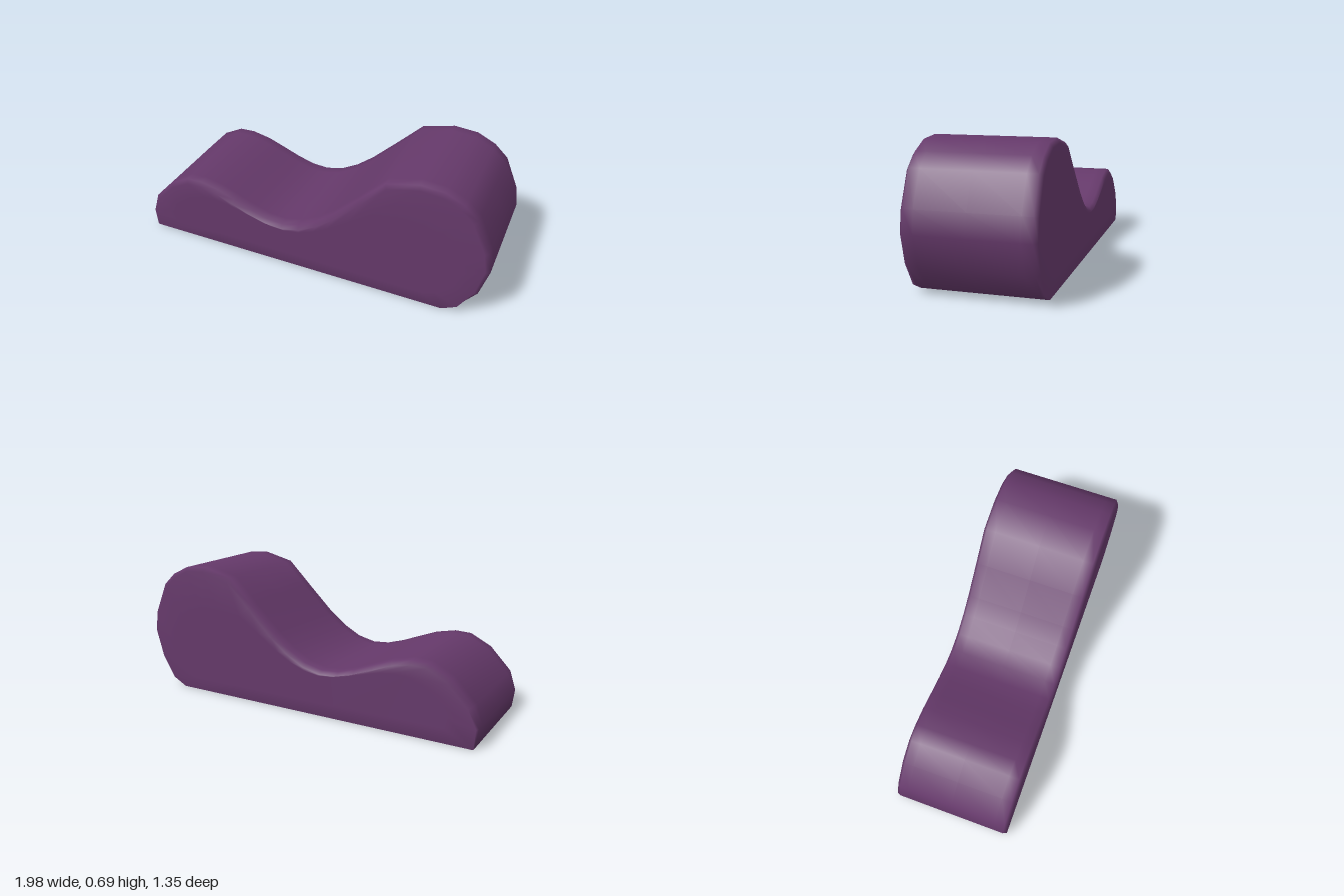
import * as THREE from 'three';

// Side outline of the lounge (length, height), counter-clockwise from the low end's foot
const OUTLINE = [
  [-0.942, 0], [-0.6, 0], [-0.25, 0], [0.1, 0], [0.45, 0], [0.75, 0],
  [0.827, 0.04], [0.915, 0.15], [0.958, 0.3], [0.942, 0.41], [0.87, 0.575],
  [0.8, 0.64], [0.706, 0.685], [0.582, 0.695], [0.417, 0.655], [0.28, 0.52],
  [0.142, 0.387], [0.05, 0.315], [-0.045, 0.263], [-0.14, 0.241], [-0.23, 0.248],
  [-0.32, 0.275], [-0.42, 0.315], [-0.516, 0.352], [-0.62, 0.374], [-0.706, 0.371],
  [-0.816, 0.315], [-0.926, 0.2], [-0.958, 0.1],
];
const HALF_WIDTH = 0.3085;

// Outline pulled inwards along its normal; the inset fades out towards the floor
function insetOutline(depth) {
  const n = OUTLINE.length;
  return OUTLINE.map(([u, y], i) => {
    const a = OUTLINE[(i + n - 1) % n], b = OUTLINE[(i + 1) % n];
    const t = new THREE.Vector2(b[0] - a[0], b[1] - a[1]).normalize();
    const d = depth * THREE.MathUtils.smoothstep(y, 0.03, 0.2);
    return [u - t.y * d, y + t.x * d];
  });
}

function loungeGeometry() {
  const seam = insetOutline(0.022);
  const panel = OUTLINE.map(([u, y]) => [u * 0.85, y * 0.6 + 0.07]);
  // Cross-sections from back to front: side panel, seam edge, upholstery, seam edge, side panel
  const rings = [
    [panel, -HALF_WIDTH], [seam, -HALF_WIDTH], [OUTLINE, -0.292], [OUTLINE, -0.24], [OUTLINE, 0],
    [OUTLINE, 0.24], [OUTLINE, 0.292], [seam, HALF_WIDTH], [panel, HALF_WIDTH],
  ];
  const n = OUTLINE.length, positions = [], index = [];
  for (const [points, w] of rings) for (const [u, y] of points) positions.push(u, y, w);
  for (let k = 0; k < rings.length - 1; k++) {
    for (let i = 0; i < n; i++) {
      const j = (i + 1) % n;
      const a = k * n + i, b = k * n + j, c = b + n, d = a + n;
      index.push(a, b, c, a, c, d);
    }
  }
  // Close the middle of both side panels
  const last = (rings.length - 1) * n;
  const faces = THREE.ShapeUtils.triangulateShape(panel.map(([u, y]) => new THREE.Vector2(u, y)), []);
  for (const [a, b, c] of faces) {
    index.push(last + a, last + b, last + c);
    index.push(a, c, b);
  }
  const geometry = new THREE.BufferGeometry();
  geometry.setAttribute('position', new THREE.Float32BufferAttribute(positions, 3));
  geometry.setIndex(index);
  geometry.computeVertexNormals();
  return geometry;
}

export function createModel() {
  const upholstery = new THREE.MeshStandardMaterial({ color: 0x65396a });
  upholstery.name = 'plum upholstery';

  const lounge = new THREE.Mesh(loungeGeometry(), upholstery);
  lounge.name = 'waveLounge';
  lounge.rotation.y = THREE.MathUtils.degToRad(24.7);

  const group = new THREE.Group();
  group.name = 'chaiseLounge';
  group.add(lounge);
  return group;
}
